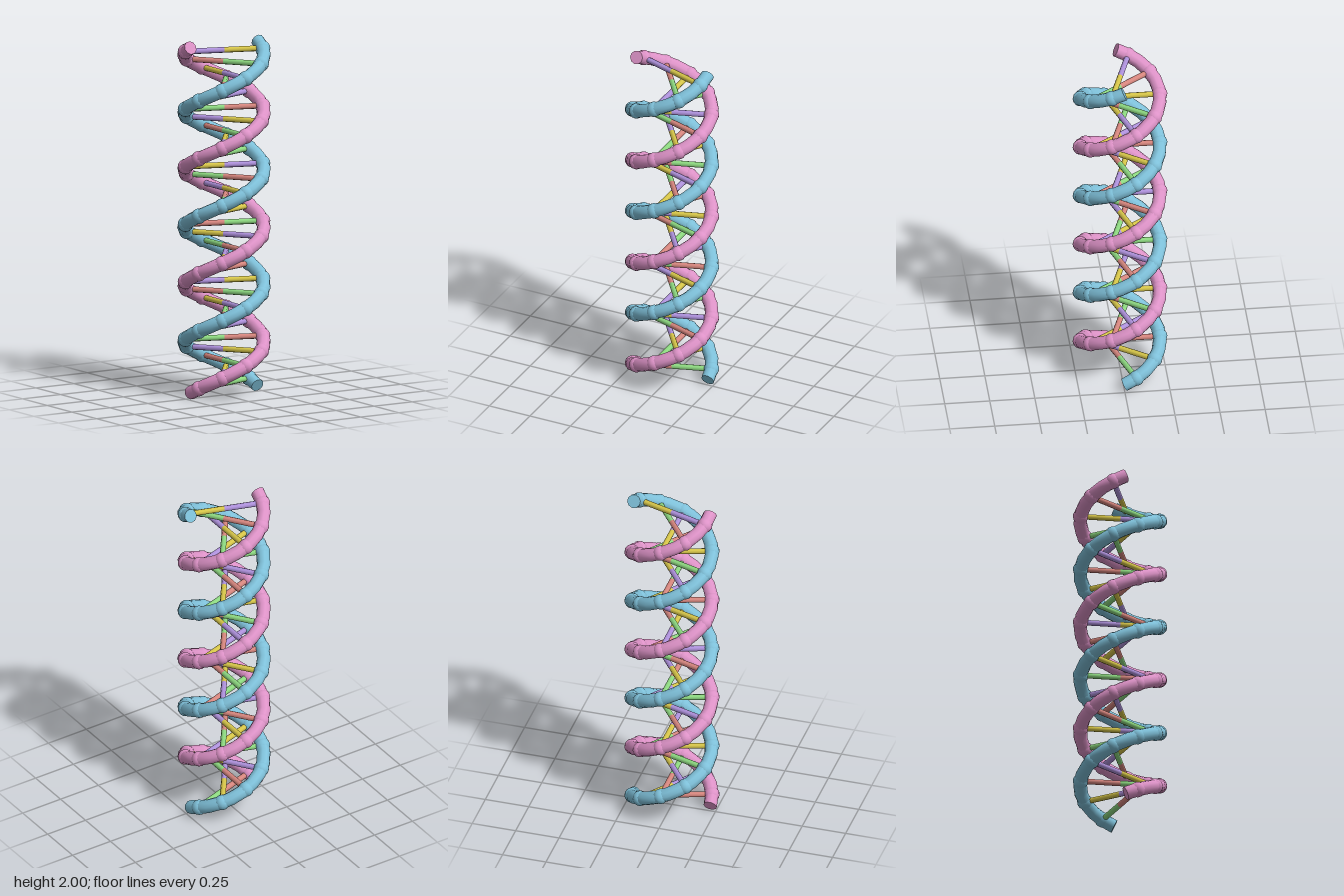
import * as THREE from 'three';

const TURNS = 3, RUNGS = 30, RADIUS = 0.22, TUBE = 0.038, SIDES = 10, SEGMENTS = 64;
const BASE = 0.034, HEIGHT = 1.932;

// Helix through the strand centres; side is 1 or -1 for the two opposite strands
class Helix extends THREE.Curve {
  constructor(side) {
    super();
    this.side = side;
  }
  getPoint(u, target = new THREE.Vector3()) {
    const a = u * TURNS * Math.PI * 2;
    return target.set(
      -this.side * RADIUS * Math.cos(a),
      BASE + u * HEIGHT,
      this.side * RADIUS * Math.sin(a)
    );
  }
}

const material = (name, color) => {
  const m = new THREE.MeshStandardMaterial({ color });
  m.name = name;
  return m;
};

function mesh(name, geometry, mat) {
  const m = new THREE.Mesh(geometry, mat);
  m.name = name;
  return m;
}

// Flat cap that closes one end ring of a tube
function capGeometry(tube, atEnd) {
  const first = atEnd ? SEGMENTS * (SIDES + 1) : 0;
  const ring = [];
  for (let j = 0; j < SIDES; j++) {
    ring.push(new THREE.Vector3().fromBufferAttribute(tube.attributes.position, first + j));
  }
  if (atEnd) ring.reverse();
  const points = [];
  for (let j = 1; j < SIDES - 1; j++) points.push(ring[0], ring[j], ring[j + 1]);
  const g = new THREE.BufferGeometry().setFromPoints(points);
  g.computeVertexNormals();
  return g;
}

export function createModel() {
  const model = new THREE.Group();
  model.name = 'doubleHelix';

  const pink = material('pink', 0xde93c8);
  const blue = material('blue', 0x7fc1da);
  const salmon = material('salmon', 0xd98880);
  const purple = material('purple', 0xb093de);
  const green = material('green', 0x8fdb82);
  const yellow = material('yellow', 0xd9c84a);

  // Colours of the rung halves on each strand, repeating upwards
  const strands = [
    { name: 'pinkStrand', side: 1, mat: pink, halves: [salmon, purple, green, yellow] },
    { name: 'blueStrand', side: -1, mat: blue, halves: [green, yellow, salmon, purple] }
  ];

  const jointGeometry = new THREE.SphereGeometry(0.043, 12, 8);
  // Half rung, reaching from the axis outwards along +x
  const halfRung = new THREE.CylinderGeometry(0.016, 0.016, RADIUS, 8);
  halfRung.rotateZ(-Math.PI / 2);
  halfRung.translate(RADIUS / 2, 0, 0);

  for (const { name, side, mat, halves } of strands) {
    const strand = new THREE.Group();
    strand.name = name;
    model.add(strand);

    // Backbone with closed ends
    const curve = new Helix(side);
    const tube = new THREE.TubeGeometry(curve, SEGMENTS, TUBE, SIDES, false);
    strand.add(mesh('backbone', tube, mat));
    strand.add(mesh('bottomCap', capGeometry(tube, false), mat));
    strand.add(mesh('topCap', capGeometry(tube, true), mat));

    // Joints and half rungs
    for (let k = 0; k < RUNGS; k++) {
      const p = curve.getPoint((k + 0.5) / RUNGS);
      const joint = mesh('joint', jointGeometry, mat);
      joint.position.copy(p);
      const rung = mesh('halfRung', halfRung, halves[k % 4]);
      rung.position.y = p.y;
      rung.rotation.y = Math.atan2(-p.z, p.x);
      strand.add(joint, rung);
    }
  }
  return model;
}
